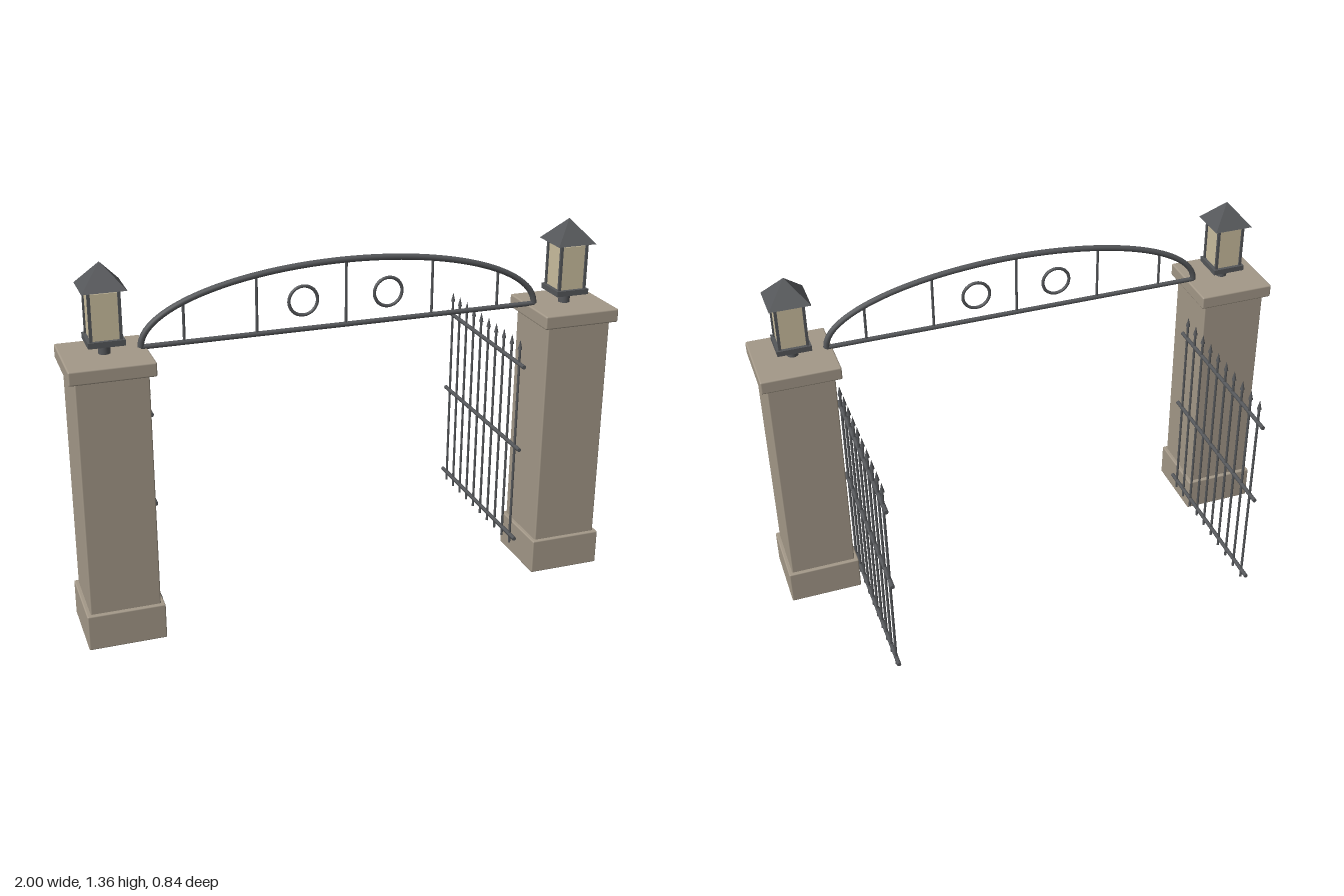
import * as THREE from 'three';
import { RoundedBoxGeometry } from 'three/addons/geometries/RoundedBoxGeometry.js';

const stone = new THREE.MeshStandardMaterial({ color: 0xa39888 });
stone.name = 'stone';
const iron = new THREE.MeshStandardMaterial({ color: 0x55575a });
iron.name = 'iron';
const glass = new THREE.MeshStandardMaterial({ color: 0xcabe9f });
glass.name = 'lampGlass';

const PILLAR_X = 0.853, PILLAR_Z = 0.273, GATE_X = 0.705;

function add(parent, name, geometry, material, x = 0, y = 0, z = 0) {
  const mesh = new THREE.Mesh(geometry, material);
  mesh.name = name;
  mesh.position.set(x, y, z);
  parent.add(mesh);
  return mesh;
}

// Square block standing between two heights
function block(parent, name, width, y0, y1, material, bevel = 0) {
  const h = y1 - y0;
  const geo = bevel ? new RoundedBoxGeometry(width, h, width, 2, bevel) : new THREE.BoxGeometry(width, h, width);
  return add(parent, name, geo, material, 0, (y0 + y1) / 2, 0);
}

function createLantern() {
  const g = new THREE.Group();
  g.name = 'lantern';
  add(g, 'lanternStem', new THREE.CylinderGeometry(0.021, 0.021, 0.05, 16), iron, 0, 1.06, 0);
  block(g, 'lanternTray', 0.125, 1.08, 1.1, iron);
  block(g, 'lanternGlass', 0.098, 1.1, 1.26, glass);
  add(g, 'lanternRod', new THREE.CylinderGeometry(0.013, 0.013, 0.02, 12), iron, 0, 1.265, 0);
  for (const x of [-1, 1]) for (const z of [-1, 1]) {
    add(g, 'lanternPost', new THREE.BoxGeometry(0.01, 0.175, 0.01), iron, x * 0.05, 1.1845, z * 0.05);
  }
  // Four-sided roof, turned so its sides face the axes
  const roof = new THREE.ConeGeometry(0.075 * Math.SQRT2, 0.085, 4).toNonIndexed();
  roof.rotateY(Math.PI / 4);
  roof.computeVertexNormals();
  add(g, 'lanternRoof', roof, iron, 0, 1.3125, 0);
  return g;
}

function createPillar(side) {
  const g = new THREE.Group();
  g.name = side > 0 ? 'leftPillar' : 'rightPillar';
  block(g, 'pillarBase', 0.276, 0, 0.133, stone, 0.005);
  block(g, 'pillarShaft', 0.248, 0.125, 0.995, stone, 0.005);
  block(g, 'pillarCap', 0.292, 0.99, 1.04, stone, 0.006);
  g.add(createLantern());
  g.position.set(side * PILLAR_X, 0, PILLAR_Z);
  return g;
}

// Open gate leaf swung back along z
function createGate(side) {
  const g = new THREE.Group();
  g.name = side > 0 ? 'leftGate' : 'rightGate';
  const rail = new THREE.CylinderGeometry(0.008, 0.008, 0.695, 10).rotateX(Math.PI / 2);
  for (const y of [0.08, 0.46, 0.797]) add(g, 'gateRail', rail, iron, 0, y, -0.0725);
  const bar = new THREE.CylinderGeometry(0.005, 0.005, 0.815, 8);
  const spear = new THREE.ConeGeometry(0.009, 0.038, 8);
  for (let i = 0; i < 10; i++) {
    const z = -0.378 + i * 0.0679;
    add(g, 'gateBar', bar, iron, 0, 0.4525, z);
    add(g, 'gateSpear', spear, iron, 0, 0.874, z);
  }
  g.position.x = side * GATE_X;
  return g;
}

function createArch() {
  const g = new THREE.Group();
  g.name = 'arch';
  const A = 0.73, B = 0.235, Y = 1.045;
  const height = x => B * Math.sqrt(1 - (x / A) ** 2);
  const points = [];
  for (let i = 0; i <= 40; i++) {
    const t = Math.PI * i / 40;
    points.push(new THREE.Vector3(A * Math.cos(t), Y + B * Math.sin(t), 0));
  }
  add(g, 'archTop', new THREE.TubeGeometry(new THREE.CatmullRomCurve3(points), 80, 0.011, 10), iron);
  add(g, 'archBar', new THREE.CylinderGeometry(0.009, 0.009, 1.46, 10).rotateZ(Math.PI / 2), iron, 0, Y, 0);
  // Uprights reach from the bar to the curve
  for (const x of [-0.58, -0.324, 0, 0.324, 0.58]) {
    const h = height(x);
    add(g, 'archUpright', new THREE.CylinderGeometry(0.005, 0.005, h, 8), iron, x, Y + h / 2, 0);
  }
  for (const x of [-0.157, 0.157]) {
    add(g, 'archRing', new THREE.TorusGeometry(0.052, 0.006, 8, 32), iron, x, 1.148, 0);
  }
  g.position.z = 0.27;
  return g;
}

export function createModel() {
  const model = new THREE.Group();
  model.name = 'gateway';
  for (const side of [-1, 1]) model.add(createPillar(side), createGate(side));
  model.add(createArch());
  return model;
}
